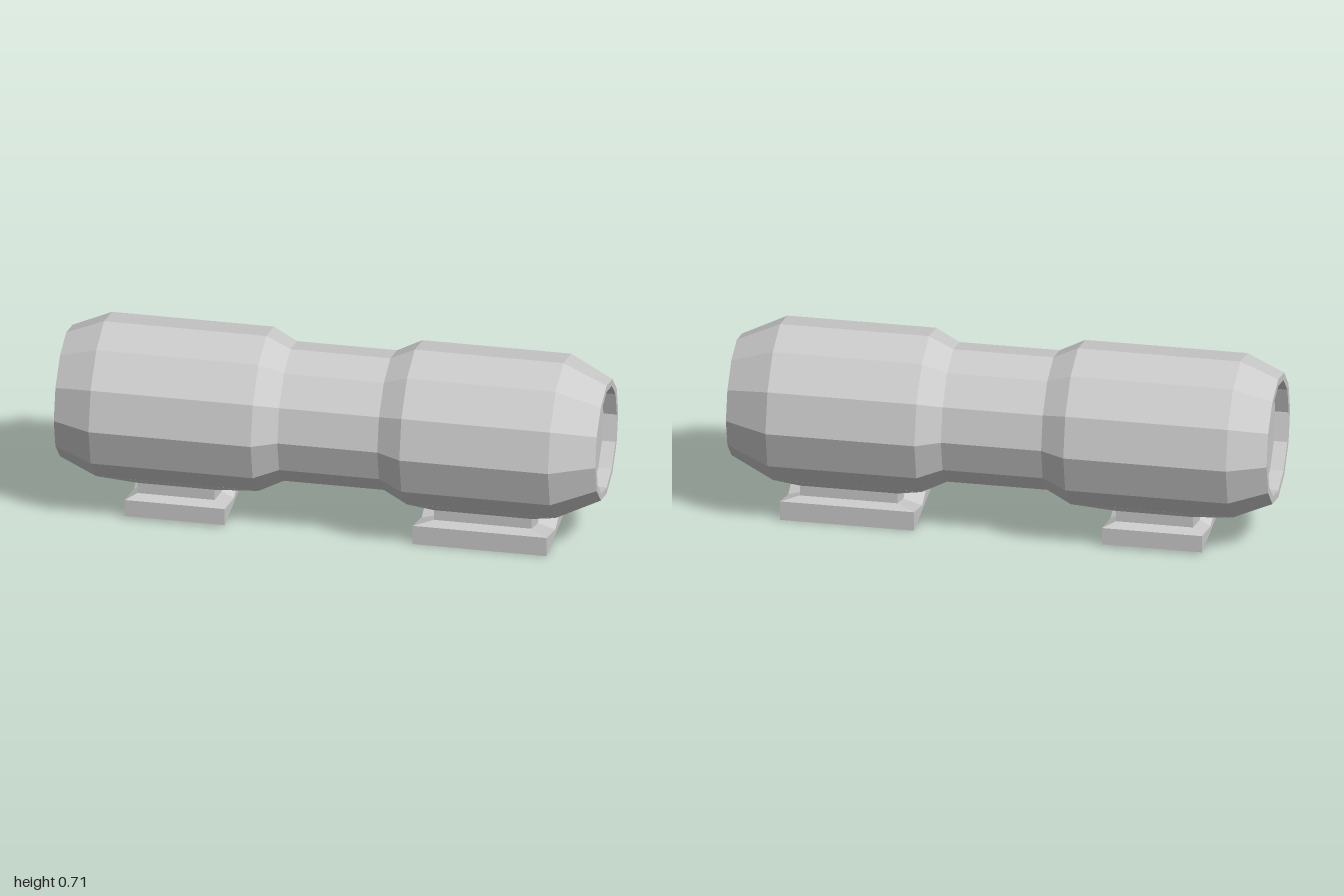
import * as THREE from 'three';

const AXIS_Y = 0.41;

const material = new THREE.MeshStandardMaterial({ color: 0xcccccc, flatShading: true });

// Twelve-sided tube along x with a narrow waist and a recessed lens at each end
function makeBody() {
  const profile = [
    [0, -0.95], [0.213, -0.95], [0.213, -1], [0.24, -1],
    [0.3, -0.86], [0.3, -0.26], [0.255, -0.17],
    [0.255, 0.2], [0.3, 0.29], [0.3, 0.84],
    [0.222, 1], [0.197, 1], [0.197, 0.95], [0, 0.95],
  ].map(([r, x]) => new THREE.Vector2(r, x));
  const body = new THREE.Mesh(new THREE.LatheGeometry(profile, 12), material);
  body.name = 'body';
  body.rotation.z = -Math.PI / 2;
  body.position.y = AXIS_Y;
  return body;
}

// Foot lofted downward through V-shaped rings: [x0, x1, half depth, side y, middle y]
function makeMount(name, rings) {
  const positions = [];
  for (const [x0, x1, z, side, mid] of rings) {
    positions.push(x1, side, z, x1, mid, 0, x1, side, -z);
    positions.push(x0, side, -z, x0, mid, 0, x0, side, z);
  }
  const index = [];
  for (let r = 0; r < rings.length - 1; r++) {
    for (let i = 0; i < 6; i++) {
      const j = (i + 1) % 6;
      const up = r * 6, low = up + 6;
      index.push(low + i, low + j, up + j, low + i, up + j, up + i);
    }
  }
  // Flat underside
  const b = (rings.length - 1) * 6;
  for (const [i, j] of [[2, 3], [3, 4], [4, 5], [5, 0]]) index.push(b + 1, b + j, b + i);

  const geometry = new THREE.BufferGeometry();
  geometry.setAttribute('position', new THREE.Float32BufferAttribute(positions, 3));
  geometry.setIndex(index);
  geometry.computeVertexNormals();
  const mount = new THREE.Mesh(geometry, material);
  mount.name = name;
  return mount;
}

export function createModel() {
  const group = new THREE.Group();
  group.name = 'scope';
  group.add(makeBody());

  // Saddle, neck top, neck bottom, flared base top, base bottom
  group.add(makeMount('rightMount', [
    [-0.86, -0.26, 0.15, 0.15, 0.11],
    [-0.71, -0.425, 0.135, 0.13, 0.095],
    [-0.71, -0.425, 0.135, 0.088, 0.053],
    [-0.75, -0.38, 0.175, 0.076, 0.03],
    [-0.75, -0.38, 0.175, 0.01, 0.01],
  ]));
  group.add(makeMount('leftMount', [
    [0.29, 0.84, 0.15, 0.15, 0.11],
    [0.385, 0.745, 0.123, 0.122, 0.08],
    [0.385, 0.745, 0.123, 0.082, 0.04],
    [0.315, 0.81, 0.17, 0.075, 0.02],
    [0.315, 0.81, 0.17, 0, 0],
  ]));
  return group;
}
